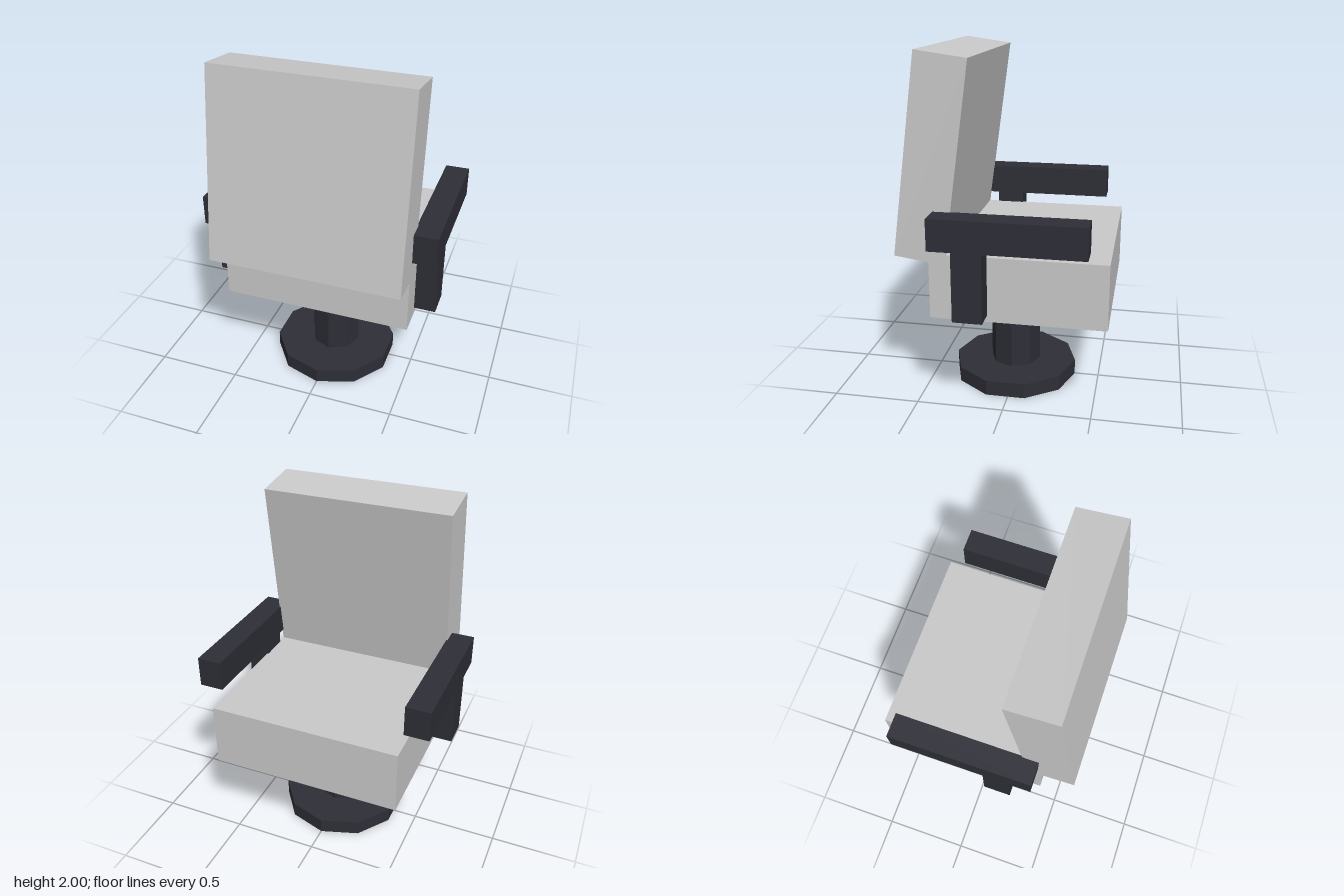
import * as THREE from 'three';

export function createModel() {
  const chair = new THREE.Group();
  chair.name = 'swivelChair';

  const upholstery = new THREE.MeshStandardMaterial({ color: 0xcacaca, flatShading: true });
  upholstery.name = 'light grey upholstery';
  const frame = new THREE.MeshStandardMaterial({ color: 0x2e2e37, flatShading: true });
  frame.name = 'dark frame';

  const add = (name, geometry, material, x, y, z) => {
    const mesh = new THREE.Mesh(geometry, material);
    mesh.name = name;
    mesh.position.set(x, y, z);
    chair.add(mesh);
    return mesh;
  };
  // Box given by its lower and upper corners
  const block = (name, material, [x0, y0, z0], [x1, y1, z1]) =>
    add(name, new THREE.BoxGeometry(x1 - x0, y1 - y0, z1 - z0), material,
      (x0 + x1) / 2, (y0 + y1) / 2, (z0 + z1) / 2);

  // Pedestal: ten-sided foot and eight-sided column
  add('foot', new THREE.CylinderGeometry(0.37, 0.37, 0.09, 10), frame, 0, 0.045, 0.015);
  add('column', new THREE.CylinderGeometry(0.15, 0.15, 0.46, 8), frame, 0, 0.32, 0.015);

  // Seat cushion and tilted backrest
  block('seat', upholstery, [-0.547, 0.563, -0.58], [0.547, 0.932, 0.39]);
  const back = add('backrest', new THREE.BoxGeometry(1.094, 1.1, 0.28), upholstery, 0, 1.437, 0.366);
  back.rotation.x = -0.136;

  // Armrests and their posts, mirrored
  for (const [side, s] of [['left', 1], ['right', -1]]) {
    const mirror = (name, a, b) => {
      const mesh = block(name, frame, a, b);
      mesh.position.x *= s;
    };
    mirror(side + 'Armrest', [0.54, 0.995, -0.478], [0.68, 1.17, 0.358]);
    mirror(side + 'ArmPost', [0.54, 0.603, 0.07], [0.67, 0.995, 0.233]);
  }
  return chair;
}
